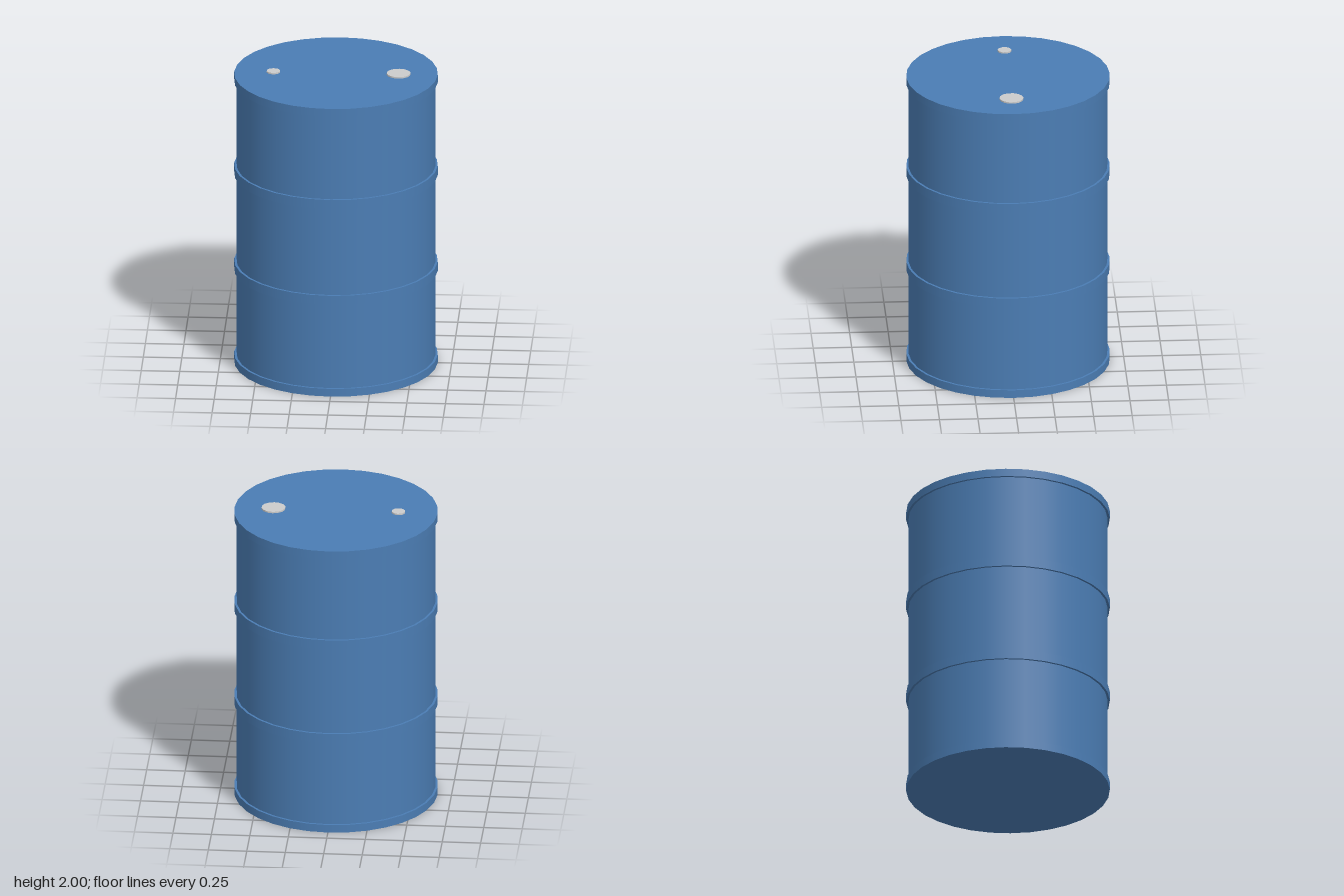
import * as THREE from 'three';

const SIDES = 32;
const HEIGHT = 1.99;

export function createModel() {
  const drum = new THREE.Group();
  drum.name = 'drum';
  const paint = new THREE.MeshStandardMaterial({ color: 0x4b7db4 });
  const metal = new THREE.MeshStandardMaterial({ color: 0xcccccc });

  // Upright closed cylinder spanning y0 to y1
  function addCylinder(name, radius, y0, y1, sides, material, x = 0) {
    const geometry = new THREE.CylinderGeometry(radius, radius, y1 - y0, sides);
    const mesh = new THREE.Mesh(geometry, material);
    mesh.name = name;
    mesh.position.set(x, (y0 + y1) / 2, 0);
    drum.add(mesh);
  }

  // Body, its ends hidden inside the rims
  addCylinder('body', 0.645, 0.01, HEIGHT - 0.01, SIDES, paint);

  // End rims and the two rolling hoops
  const bands = [
    ['bottomRim', 0, 0.053],
    ['lowerHoop', 0.636, 0.697],
    ['upperHoop', 1.298, 1.36],
    ['topRim', 1.938, HEIGHT],
  ];
  for (const [name, y0, y1] of bands) addCylinder(name, 0.66, y0, y1, SIDES, paint);

  // Bung caps on the lid
  addCylinder('largeBung', 0.078, HEIGHT - 0.01, 2, 14, metal, 0.406);
  addCylinder('smallBung', 0.045, HEIGHT - 0.01, 2, 10, metal, -0.406);

  return drum;
}
